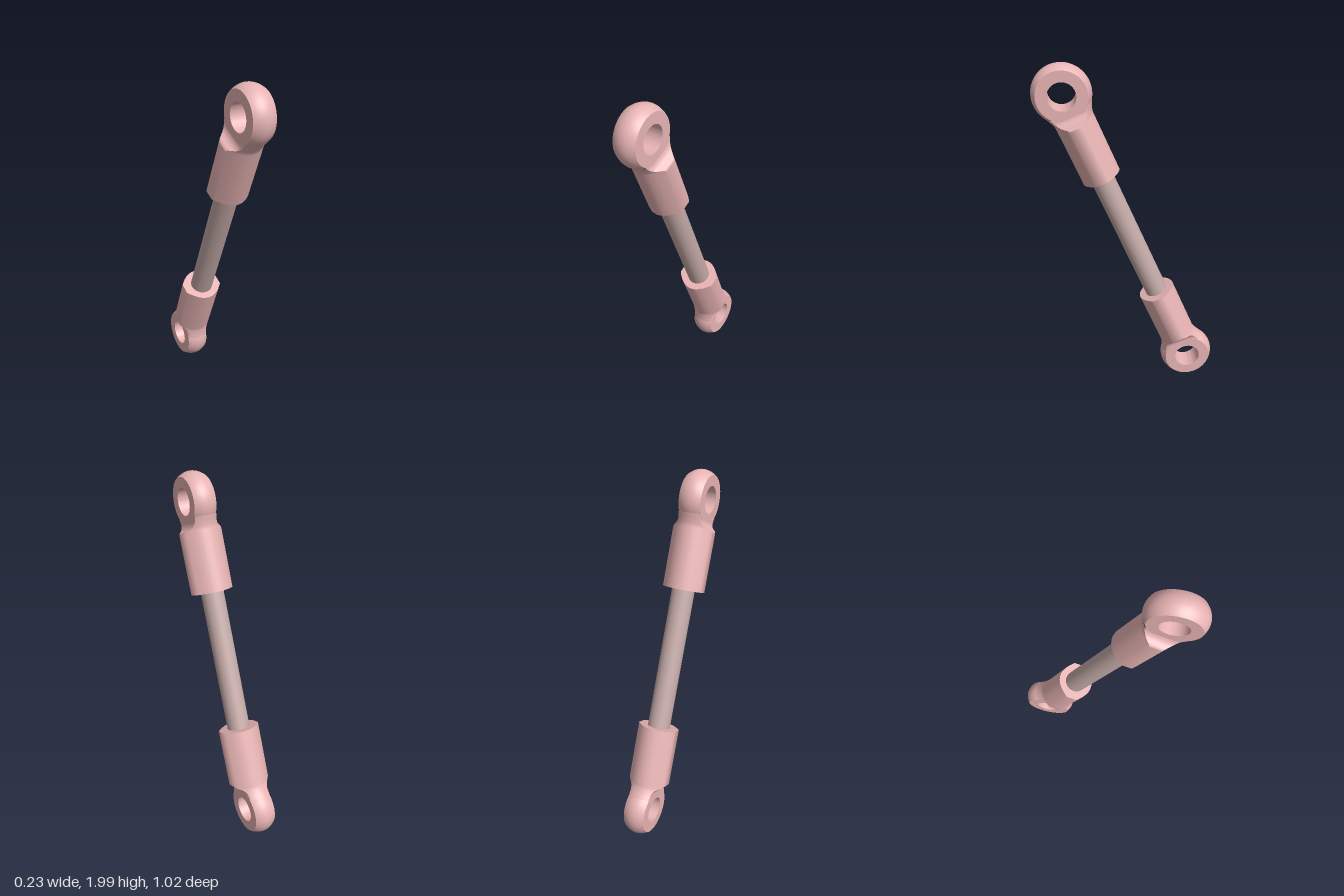
import * as THREE from 'three';
import { toCreasedNormals } from 'three/addons/utils/BufferGeometryUtils.js';

const pink = new THREE.MeshStandardMaterial({ color: 0xe8b4b4 });
const rodMat = new THREE.MeshStandardMaterial({ color: 0xc4aaa7 });

const EYE = 0.909;   // distance from the middle of the link to each eye centre
const TILT = 0.398;  // lean of the whole link
const CROWN = 5.7;   // parabolic rounding shared by sleeve and eye

function mesh(geometry, material, name) {
  const m = new THREE.Mesh(geometry, material);
  m.name = name;
  return m;
}

// Crowned ring with a through hole along x
function eyeGeometry() {
  const w = 0.065, pts = [new THREE.Vector2(0.075, -w)];
  for (let i = 0; i <= 12; i++) {
    const x = -w + (2 * w * i) / 12;
    pts.push(new THREE.Vector2(0.158 - CROWN * x * x, x));
  }
  pts.push(new THREE.Vector2(0.075, w), new THREE.Vector2(0.075, -w));
  const g = new THREE.LatheGeometry(pts, 64).rotateZ(Math.PI / 2).translate(0, EYE, 0);
  return toCreasedNormals(g, 0.6);
}

// Sleeve lofted along y: [height, half thickness in x, half width in z]
function sleeveGeometry() {
  const rows = [
    [0.405, 0.115, 0.107], [0.728, 0.115, 0.107], [0.74, 0.113, 0.107],
    [0.748, 0.107, 0.107], [0.753, 0.098, 0.107], [0.758, 0.088, 0.1075],
    [0.765, 0.078, 0.109], [0.776, 0.07, 0.112], [0.79, 0.065, 0.117],
    [0.8, 0.064, 0.121], [0.82, 0.064, 0.13],
  ];
  const n = 16, pos = [], idx = [];
  for (const [y, w, h] of rows) {
    for (const s of [1, -1]) {
      for (let i = 0; i <= n; i++) {
        const x = s * w * Math.cos((Math.PI * i) / n);
        pos.push(x, y, s * (h - CROWN * x * x));
      }
    }
  }
  const N = 2 * (n + 1), centre = pos.length / 3;
  pos.push(0, rows[0][0], 0);
  for (let k = 0; k < N; k++) {
    const k1 = (k + 1) % N;
    idx.push(centre, k, k1); // inner end face
    for (let r = 0; r < rows.length - 1; r++) {
      const a = r * N + k, b = r * N + k1;
      idx.push(a, a + N, b + N, a, b + N, b);
    }
  }
  const g = new THREE.BufferGeometry();
  g.setAttribute('position', new THREE.Float32BufferAttribute(pos, 3));
  g.setIndex(idx);
  return toCreasedNormals(g, 0.75);
}

export function createModel() {
  const model = new THREE.Group();
  model.name = 'linkRod';
  model.position.y = 1;

  const link = new THREE.Group();
  link.name = 'link';
  link.rotation.x = TILT;
  model.add(link);

  // Central rod
  link.add(mesh(new THREE.CylinderGeometry(0.065, 0.065, 0.86, 24), rodMat, 'rod'));

  // Matching rod ends, the lower one turned half a turn
  const eye = eyeGeometry(), sleeve = sleeveGeometry();
  for (const [name, turn] of [['upperEnd', 0], ['lowerEnd', Math.PI]]) {
    const end = new THREE.Group();
    end.name = name;
    end.rotation.x = turn;
    end.add(mesh(sleeve, pink, 'sleeve'), mesh(eye, pink, 'eye'));
    link.add(end);
  }

  const root = new THREE.Group();
  root.name = 'tiltedLinkRod';
  root.add(model);
  return root;
}
